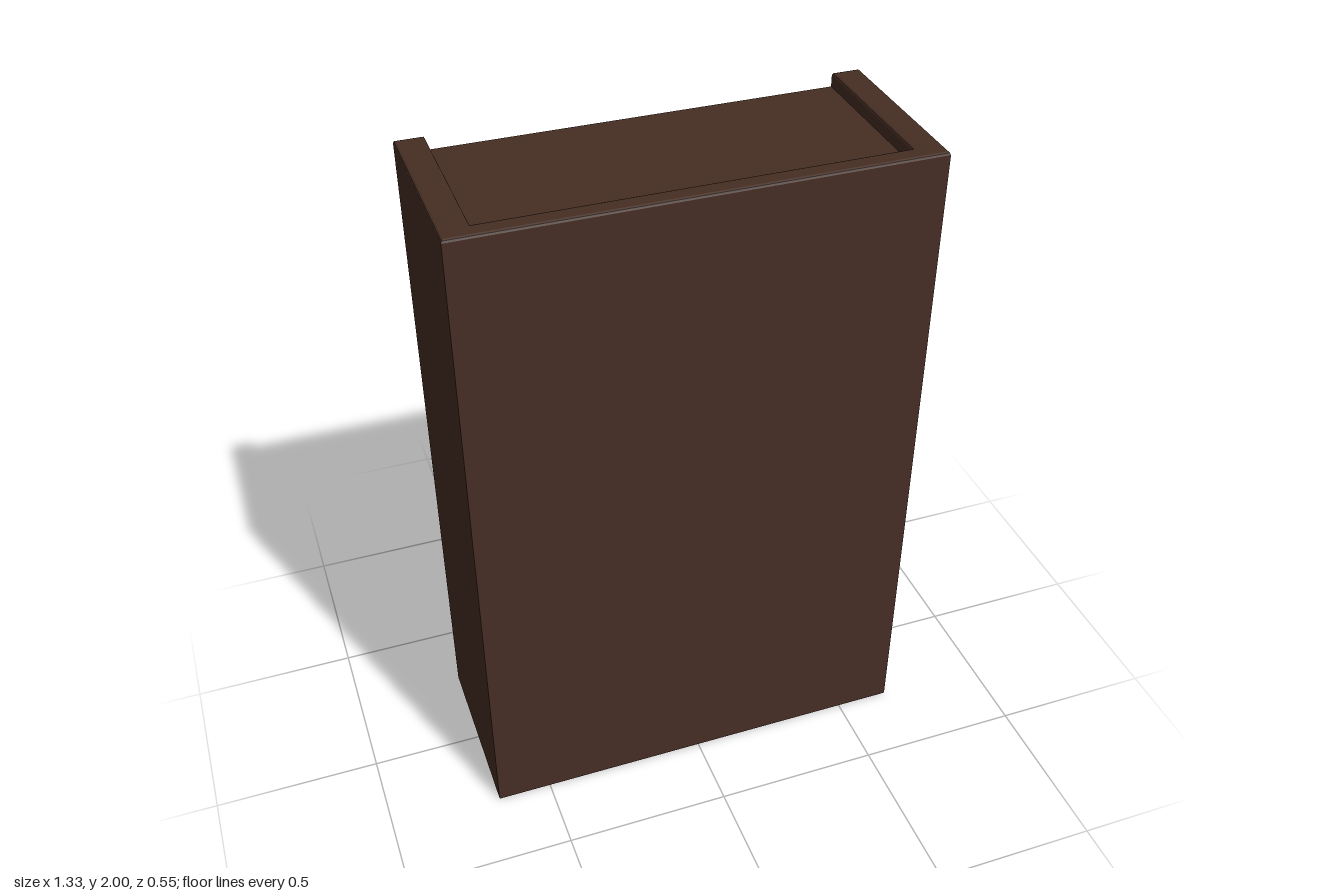
import * as THREE from 'three';

const material = (name, color) => {
  const m = new THREE.MeshStandardMaterial({ color });
  m.name = name;
  return m;
};

export function createModel() {
  const wood = material('dark wood', 0x462e24);
  const glaze = material('teal glaze', 0x2e4b44);
  const leaf = material('cactus green', 0x3b5030);
  const stalk = material('stalk green', 0x2c4433);
  const soil = material('brown soil', 0x50362a);

  const root = new THREE.Group();
  root.name = 'plantCabinet';

  const add = (parent, name, geometry, mat, x = 0, y = 0, z = 0) => {
    const mesh = new THREE.Mesh(geometry, mat);
    mesh.name = name;
    mesh.position.set(x, y, z);
    parent.add(mesh);
    return mesh;
  };

  // Cabinet shell: two sides and the closed front, open at the back
  const W = 0.665, D = 0.275, innerX = 0.582, innerZ = 0.22, bevel = 0.008;
  const plan = new THREE.Shape([
    [-W, D], [-innerX, D], [-innerX, -innerZ], [innerX, -innerZ],
    [innerX, D], [W, D], [W, -D], [-W, -D],
  ].map(([x, y]) => new THREE.Vector2(x, y)));
  const shell = new THREE.ExtrudeGeometry(plan, {
    depth: 2 - 2 * bevel, bevelEnabled: true, bevelSize: bevel,
    bevelThickness: bevel, bevelOffset: -bevel, bevelSegments: 2,
  });
  shell.translate(0, 0, bevel).rotateX(-Math.PI / 2);
  add(root, 'cabinetShell', shell, wood);

  // Shelves and top panel, flush with the open back
  const thick = 0.042;
  const shelfTops = { bottomShelf: 0.085, middleShelf: 0.863, upperShelf: 1.647, topPanel: 1.958 };
  const shelfGeo = new THREE.BoxGeometry(2 * innerX + 0.01, thick, D + innerZ + 0.005);
  for (const [name, top] of Object.entries(shelfTops)) {
    add(root, name, shelfGeo, wood, 0, top - thick / 2, (innerZ - D) / 2 + 0.003);
  }

  // Pot: tapered body, sloped shoulder, narrow neck
  const potGeo = new THREE.LatheGeometry([
    [0, 0], [0.074, 0], [0.074, 0.03], [0.069, 0.045], [0.062, 0.125],
    [0.058, 0.135], [0.046, 0.137], [0.042, 0.15], [0, 0.15],
  ].map(([r, y]) => new THREE.Vector2(r, y)), 24);
  const soilGeo = new THREE.CylinderGeometry(0.045, 0.04, 0.03, 20);
  const plateGeo = new THREE.BoxGeometry(0.036, 0.06, 0.008);

  const makePot = (x, y) => {
    const pot = new THREE.Group();
    pot.name = 'pot';
    pot.position.set(x, y, -0.04);
    add(pot, 'potBody', potGeo, glaze);
    add(pot, 'soil', soilGeo, soil, 0, 0.162, 0);
    add(pot, 'potPlate', plateGeo, glaze, 0, 0.075, -0.067).rotation.x = 0.09;
    root.add(pot);
    return pot;
  };

  // Cactus: columns of oval lobes round a core, with a long thin stalk
  const lobeGeo = new THREE.SphereGeometry(1, 12, 10);
  const coreGeo = new THREE.CylinderGeometry(0.035, 0.04, 0.34, 10);
  const tipGeo = new THREE.ConeGeometry(0.016, 0.13, 8);
  const stalkGeo = new THREE.CylinderGeometry(0.005, 0.005, 0.42, 6);

  const makeCactus = (pot) => {
    const cactus = new THREE.Group();
    cactus.name = 'cactus';
    add(cactus, 'core', coreGeo, leaf, 0, 0.34, 0);
    const columns = 7;
    for (let c = 0; c < columns; c++) {
      const a = (c / columns) * Math.PI * 2;
      const lift = (c % 2) * 0.02;
      for (let row = 0; row < 3; row++) {
        const r = row === 2 ? 0.056 : 0.062;
        add(cactus, 'lobe', lobeGeo, leaf, Math.sin(a) * r, 0.225 + row * 0.1 + lift, -Math.cos(a) * r)
          .scale.set(0.033, 0.056, 0.033);
      }
    }
    // Small top lobes
    for (let i = 0; i < 4; i++) {
      const a = (i + 0.5) * Math.PI / 2;
      add(cactus, 'topLobe', lobeGeo, leaf, Math.cos(a) * 0.026, 0.505, Math.sin(a) * 0.026)
        .scale.set(0.02, 0.045, 0.02);
    }
    add(cactus, 'tip', tipGeo, stalk, 0, 0.57, 0);
    add(cactus, 'stalk', stalkGeo, stalk, 0, 0.7, 0);
    pot.add(cactus);
  };

  for (const x of [-0.435, 0, 0.435]) {
    makePot(x, shelfTops.bottomShelf);
    makeCactus(makePot(x, shelfTops.middleShelf));
  }
  return root;
}
